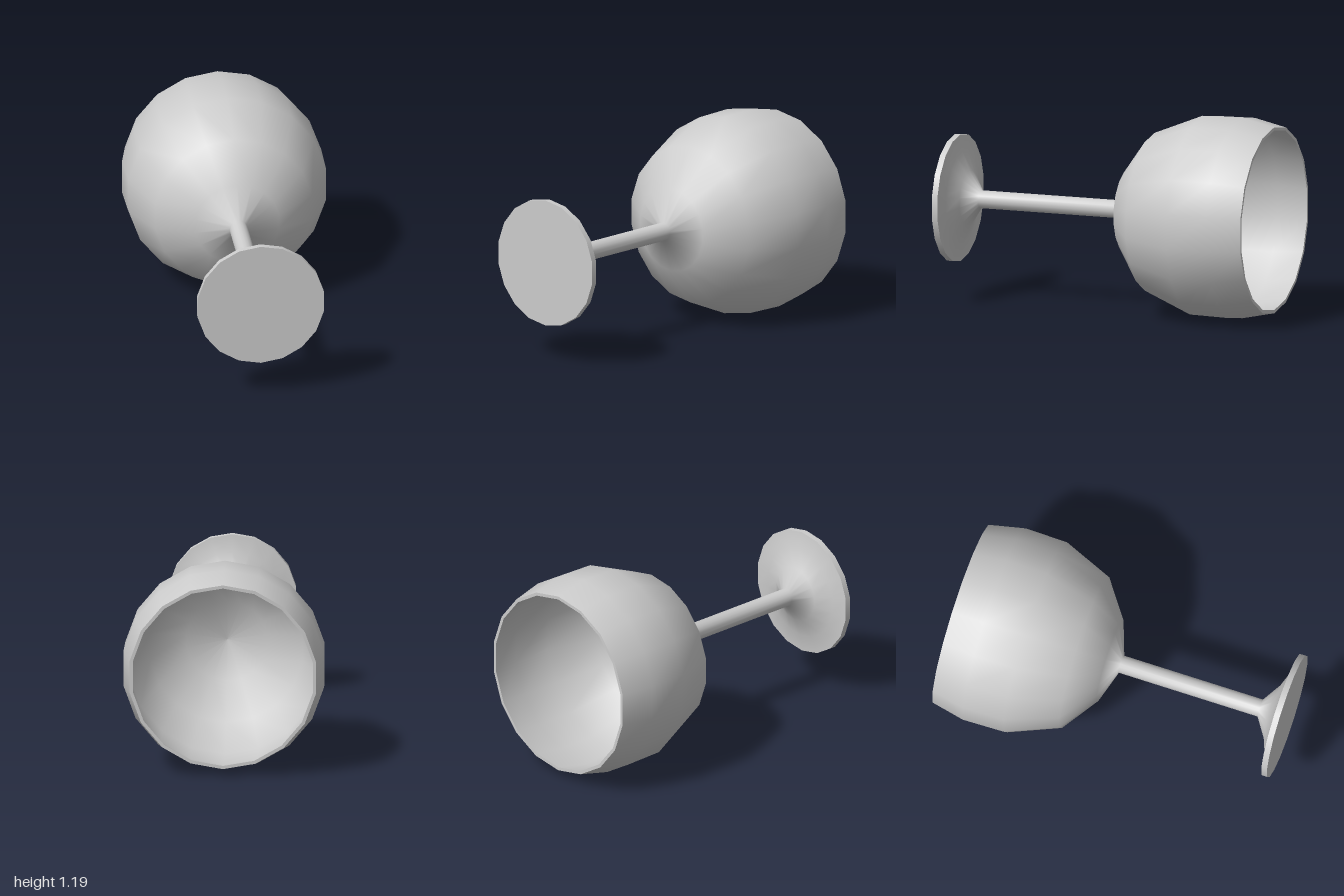
import * as THREE from 'three';

const SIDES = 18;
const AXIS_Y = 0.597; // height of the goblet's axis, lying along z

export function createModel() {
  const group = new THREE.Group();
  group.name = 'goblet';
  const material = new THREE.MeshStandardMaterial({ color: 0xcccccc });

  // Smooth surface of revolution from [radius, z] points, foot towards rim;
  // separate parts meet in sharp edges.
  function turned(name, profile) {
    const points = profile.map(([r, z]) => new THREE.Vector2(r, -z));
    const geometry = new THREE.LatheGeometry(points, SIDES);
    geometry.rotateX(-Math.PI / 2);
    const mesh = new THREE.Mesh(geometry, material);
    mesh.name = name;
    mesh.position.y = AXIS_Y;
    group.add(mesh);
  }

  // Foot: flat underside, thin edge, flared top
  turned('footUnderside', [[0, 1], [0.376, 1]]);
  turned('footEdge', [[0.376, 1], [0.376, 0.965]]);

  // Flare, stem and outside of the bowl in one flowing surface
  turned('footStemAndBowl', [
    [0.376, 0.965], [0.275, 0.953], [0.165, 0.91], [0.053, 0.835],
    [0.053, -0.02], [0.25, -0.09], [0.468, -0.25], [0.59, -0.55],
    [0.595, -0.8], [0.552, -1],
  ]);

  // Lip and hollow inside of the bowl
  turned('rim', [[0.552, -1], [0.533, -1]]);
  turned('bowlInside', [
    [0.533, -1], [0.575, -0.8], [0.57, -0.55], [0.452, -0.265],
    [0.24, -0.11], [0, -0.07],
  ]);

  return group;
}
